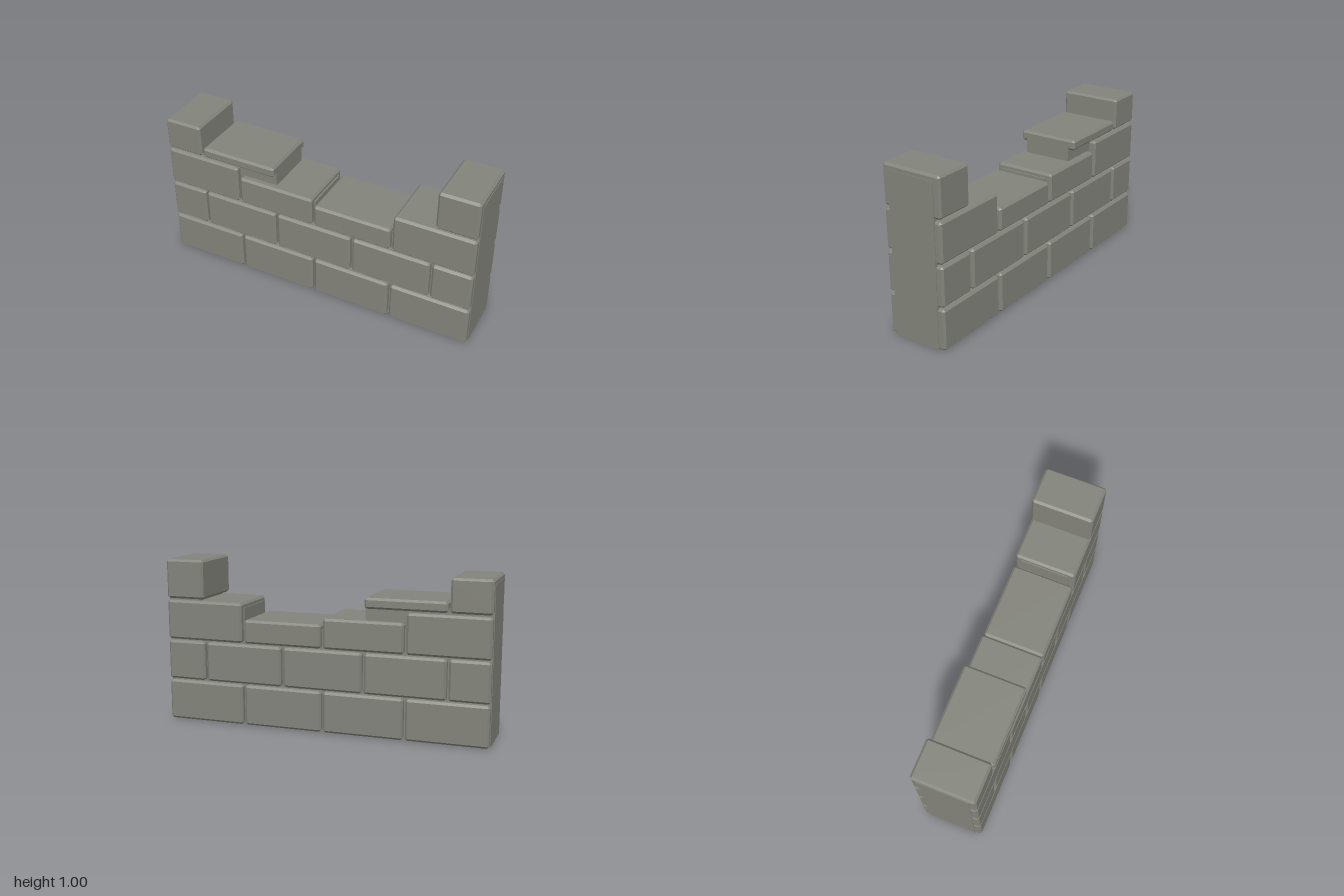
import * as THREE from 'three';
import { ConvexGeometry } from 'three/addons/geometries/ConvexGeometry.js';

// Box with flat chamfers on every edge
function chamferedBox(w, h, d, c) {
  const points = [];
  for (const sx of [-1, 1]) for (const sy of [-1, 1]) for (const sz of [-1, 1]) {
    const x = w / 2, y = h / 2, z = d / 2;
    points.push(
      new THREE.Vector3(sx * x, sy * (y - c), sz * (z - c)),
      new THREE.Vector3(sx * (x - c), sy * y, sz * (z - c)),
      new THREE.Vector3(sx * (x - c), sy * (y - c), sz * z));
  }
  return new ConvexGeometry(points);
}

export function createModel() {
  const wall = new THREE.Group();
  wall.name = 'brokenBrickWall';
  const stone = new THREE.MeshStandardMaterial({ color: 0x82837a });
  stone.name = 'grey stone';

  // Mortar core: stepped silhouette, flush with both ends and the ground
  const steps = [[-1, -0.79, 0.93], [-0.79, -0.26, 0.785], [-0.26, 0, 0.66],
    [0, 0.5, 0.62], [0.5, 0.79, 0.72], [0.79, 1, 0.967]];
  const outline = new THREE.Shape();
  outline.moveTo(1, 0);
  for (const [x0, x1, top] of [...steps].reverse()) {
    outline.lineTo(x1, top);
    outline.lineTo(x0, top);
  }
  outline.lineTo(-1, 0);
  const coreGeometry = new THREE.ExtrudeGeometry(outline, { depth: 0.3, bevelEnabled: false });
  coreGeometry.translate(0, 0, -0.15);
  const core = new THREE.Mesh(coreGeometry, stone);
  core.name = 'mortarCore';
  wall.add(core);

  // Brick courses: each brick is [left, right, top]
  const courses = [
    { name: 'bottomCourse', base: 0.003, bricks: [
      [-0.997, -0.51, 0.25], [-0.495, -0.01, 0.25], [0.005, 0.49, 0.25], [0.507, 0.997, 0.25]] },
    { name: 'secondCourse', base: 0.26, bricks: [
      [-0.997, -0.758, 0.5], [-0.745, -0.26, 0.5], [-0.245, 0.24, 0.5],
      [0.257, 0.74, 0.5], [0.755, 0.997, 0.5]] },
    { name: 'thirdCourse', base: 0.51, bricks: [
      [-0.997, -0.51, 0.75], [-0.495, -0.01, 0.69], [0.005, 0.49, 0.652], [0.507, 0.997, 0.75]] },
    { name: 'topCourse', base: 0.762, bricks: [
      [-0.997, -0.758, 0.96], [-0.745, -0.26, 0.826], [0.755, 0.997, 1]] },
  ];
  for (const { name, base, bricks } of courses) {
    const course = new THREE.Group();
    course.name = name;
    for (const [x0, x1, top] of bricks) {
      const brick = new THREE.Mesh(chamferedBox(x1 - x0, top - base, 0.38, 0.013), stone);
      brick.name = 'brick';
      brick.position.set((x0 + x1) / 2, (base + top) / 2, 0);
      course.add(brick);
    }
    wall.add(course);
  }
  return wall;
}
